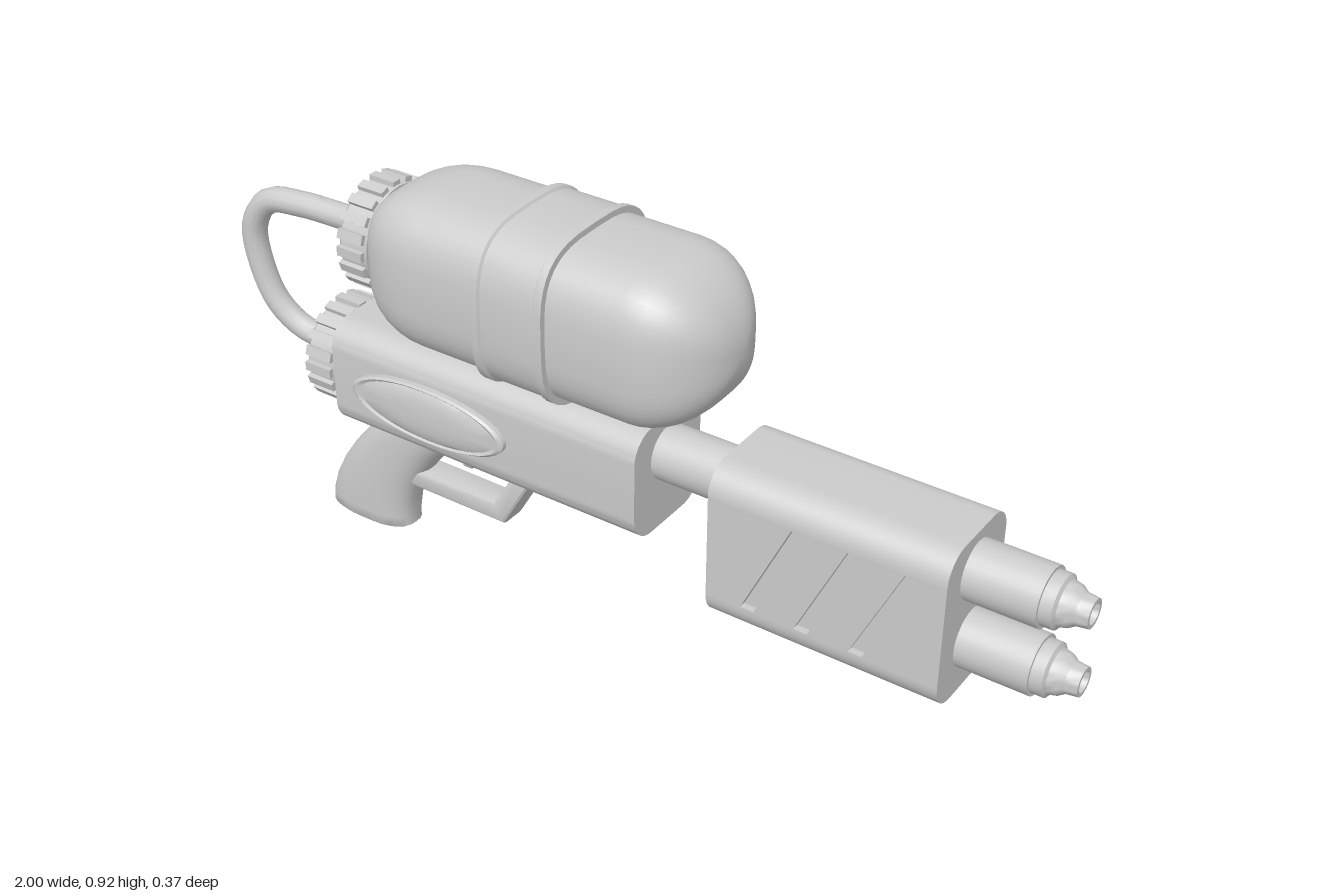
import * as THREE from 'three';
import { toCreasedNormals } from 'three/addons/utils/BufferGeometryUtils.js';

const material = new THREE.MeshStandardMaterial({ color: 0xcccccc });

function add(parent, name, geometry, x = 0, y = 0, z = 0, crease = 0.6) {
  const mesh = new THREE.Mesh(toCreasedNormals(geometry, crease), material);
  mesh.name = name;
  mesh.position.set(x, y, z);
  parent.add(mesh);
  return mesh;
}

// Skin over cross-sections, closed at both ends
function loft(rings) {
  const n = rings[0].length, position = [], index = [];
  for (const ring of rings) for (const p of ring) position.push(...p);
  for (let i = 0; i < rings.length - 1; i++) {
    for (let j = 0; j < n; j++) {
      const a = i * n + j, b = i * n + (j + 1) % n;
      index.push(a, b, b + n, a, b + n, a + n);
    }
  }
  [0, rings.length - 1].forEach((r, end) => {
    const centre = position.length / 3;
    const mid = [0, 1, 2].map(k => rings[r].reduce((s, p) => s + p[k], 0) / n);
    position.push(...mid);
    for (let j = 0; j < n; j++) {
      const a = r * n + j, b = r * n + (j + 1) % n;
      if (end) index.push(centre, a, b); else index.push(centre, b, a);
    }
  });
  const g = new THREE.BufferGeometry();
  g.setAttribute('position', new THREE.Float32BufferAttribute(position, 3));
  g.setIndex(index);
  return g;
}

// Rounded-square outline as [cos-like, sin-like] pairs
function squircle(exponent, n = 40) {
  const bend = v => Math.sign(v) * Math.abs(v) ** (2 / exponent);
  return Array.from({ length: n }, (_, i) => {
    const t = i / n * Math.PI * 2;
    return [bend(Math.cos(t)), bend(Math.sin(t))];
  });
}

// Rounded-square body along x from [x, radius] stations
const squareTurned = stations => loft(stations.map(([x, r]) =>
  squircle(3.2).map(([c, s]) => [x, r * c, r * s])));

// Round body along x from [x, radius] stations
const turned = (stations, sides = 28) => new THREE.LatheGeometry(
  stations.map(([x, r]) => new THREE.Vector2(r, x)), sides).rotateZ(-Math.PI / 2);

function extrudeX(shape, length) {
  return new THREE.ExtrudeGeometry(shape, { depth: length, bevelEnabled: false, curveSegments: 6 })
    .rotateY(Math.PI / 2);
}

// Rounded rectangle; inset recesses the flat left and right sides
function housingShape(w, h, r, inset = 0) {
  const s = new THREE.Shape(), x = w / 2, y = h / 2;
  s.moveTo(-x + r, -y).lineTo(x - r, -y).absarc(x - r, -y + r, r, -Math.PI / 2, 0);
  if (inset) s.lineTo(x - inset, -y + r).lineTo(x - inset, y - r).lineTo(x, y - r);
  s.absarc(x - r, y - r, r, 0, Math.PI / 2).lineTo(-x + r, y);
  s.absarc(-x + r, y - r, r, Math.PI / 2, Math.PI);
  if (inset) s.lineTo(-x + inset, y - r).lineTo(-x + inset, -y + r).lineTo(-x, -y + r);
  s.absarc(-x + r, -y + r, r, Math.PI, Math.PI * 1.5);
  return s;
}

const polygon = points => points.map(([x, y]) => new THREE.Vector2(x, y));

// Screw cap with grip ribs, its closed face towards -x
function screwCap(parent, name, x, y, length, radius) {
  const cap = new THREE.Group();
  cap.name = name;
  cap.position.set(x, y, 0);
  add(cap, 'capBody', turned([[0, 0], [0, radius - 0.022], [0.012, radius - 0.01],
    [length, radius - 0.01], [length, 0]]), 0, 0, 0, 0.5);
  for (let i = 0; i < 20; i++) {
    const rib = add(cap, 'capRib', new THREE.BoxGeometry(length * 0.8, 0.014, 0.021)
      .translate(length * 0.52, radius - 0.007, 0));
    rib.rotation.x = i / 20 * Math.PI * 2;
  }
  parent.add(cap);
}

export function createModel() {
  const root = new THREE.Group();
  root.name = 'waterBlaster';
  const toy = new THREE.Group();
  toy.name = 'blasterAssembly';
  toy.rotation.y = 0.04;
  toy.position.z = -0.012;
  root.add(toy);

  // Water tank with rounded ends
  const tank = [];
  for (let i = 0; i <= 8; i++) {
    const t = i / 8 * Math.PI / 2;
    tank.push([-0.42 - 0.165 * Math.cos(t), 0.075 + 0.096 * Math.sin(t)]);
  }
  for (let i = 0; i <= 11; i++) {
    const t = i / 11 * Math.PI / 2;
    tank.push([0.075 + 0.175 * Math.sin(t), Math.max(0.171 * Math.cos(t), 0.002)]);
  }
  add(toy, 'tank', squareTurned(tank), 0, 0.731);
  add(toy, 'tankStrap', squareTurned([[-0.255, 0.165], [-0.255, 0.184], [-0.238, 0.184], [-0.234, 0.179],
    [-0.106, 0.179], [-0.102, 0.184], [-0.085, 0.184], [-0.085, 0.165]]), 0, 0.731);
  add(toy, 'tankSaddle', new THREE.BoxGeometry(0.3, 0.04, 0.1), -0.17, 0.55);
  screwCap(toy, 'tankCap', -0.655, 0.735, 0.08, 0.125);

  // Main body with oval side panels
  add(toy, 'body', extrudeX(housingShape(0.235, 0.25, 0.06), 0.775), -0.69, 0.415);
  screwCap(toy, 'bodyCap', -0.78, 0.415, 0.085, 0.12);
  add(toy, 'bodyCapCollar', turned([[0, 0], [0, 0.1], [0.04, 0.1]]), -0.71, 0.415);
  for (const side of [1, -1]) {
    const oval = [[1, -0.2], [1, 0.5], [0.95, 0.7], [0.89, 0.55], [0.75, 0.78], [0.5, 0.92], [0.25, 0.98], [0, 1]];
    const panel = new THREE.LatheGeometry(polygon(oval), 40)
      .scale(0.2, 0.024, 0.066).rotateX(side * Math.PI / 2);
    add(toy, 'ovalPanel', panel, -0.43, 0.415, side * 0.117);
  }

  // Hose from tank to body
  const hosePath = new THREE.CatmullRomCurve3([
    [-0.64, 0.735, 0], [-0.74, 0.735, 0.004], [-0.84, 0.737, 0.014], [-0.925, 0.725, 0.024],
    [-0.968, 0.66, 0.03], [-0.962, 0.57, 0.03], [-0.925, 0.48, 0.026], [-0.86, 0.425, 0.014], [-0.76, 0.415, 0],
  ].map(p => new THREE.Vector3(...p)));
  add(toy, 'hose', new THREE.TubeGeometry(hosePath, 36, 0.028, 12), 0, 0, 0, 1);

  // Pump rod and forward pump handle with slanted grooves
  add(toy, 'pumpRod', turned([[0.07, 0], [0.07, 0.06], [0.27, 0.06], [0.27, 0]]), 0, 0.455);
  const inset = 0.015;
  add(toy, 'pumpHandle', extrudeX(housingShape(0.235, 0.355, 0.06, inset), 0.51), 0.255, 0.3625);
  const plate = new THREE.Shape(polygon([[0.255, 0.245], [0.765, 0.245], [0.765, 0.48], [0.255, 0.48]]));
  for (let i = 0; i < 3; i++) {
    const x = 0.335 + i * 0.12;
    plate.holes.push(new THREE.Path(polygon([[x, 0.25], [x + 0.105, 0.475], [x + 0.135, 0.475], [x + 0.03, 0.25]])));
  }
  for (const z of [0.1175 - inset, -0.1175]) {
    add(toy, 'groovedPlate', new THREE.ExtrudeGeometry(plate, { depth: inset, bevelEnabled: false }), 0, 0, z);
  }

  // Twin nozzles
  for (const y of [0.455, 0.297]) {
    add(toy, 'nozzle', turned([[0.755, 0], [0.755, 0.062], [0.915, 0.062], [0.915, 0.055], [0.94, 0.055],
      [0.945, 0.046], [0.962, 0.042], [0.975, 0.033], [1, 0.03], [1, 0.022], [0.975, 0.02], [0.975, 0]]), 0, y, 0, 0.5);
  }

  // Swept grip from [height, back x, front x, half depth]
  const grip = [[0, -0.81, -0.598, 0.05], [0.006, -0.817, -0.59, 0.054], [0.03, -0.814, -0.59, 0.055],
    [0.08, -0.798, -0.581, 0.055], [0.13, -0.772, -0.56, 0.055], [0.18, -0.738, -0.53, 0.055],
    [0.23, -0.697, -0.49, 0.055], [0.27, -0.655, -0.445, 0.055], [0.3, -0.62, -0.4, 0.055], [0.33, -0.6, -0.38, 0.055]];
  add(toy, 'grip', loft(grip.map(([y, back, front, depth]) => squircle(2.6, 32).map(([c, s]) =>
    [(back + front) / 2 + s * (front - back) / 2, y, c * depth]))), 0, 0, 0, 0.8);

  // Trigger guard
  const guard = new THREE.Shape(polygon([[-0.6, 0.132], [-0.312, 0.132], [-0.215, 0.3],
    [-0.267, 0.3], [-0.339, 0.175], [-0.6, 0.175]]));
  add(toy, 'triggerGuard', new THREE.ExtrudeGeometry(guard, {
    depth: 0.05, bevelThickness: 0.01, bevelSize: 0.008, bevelOffset: -0.008, bevelSegments: 2,
  }), 0, 0, -0.025);

  // Push-button trigger
  add(toy, 'trigger', turned([[-0.53, 0], [-0.53, 0.012], [-0.43, 0.012], [-0.43, 0.021],
    [-0.413, 0.021], [-0.408, 0.015], [-0.408, 0]], 16), 0, 0.242);

  return root;
}
